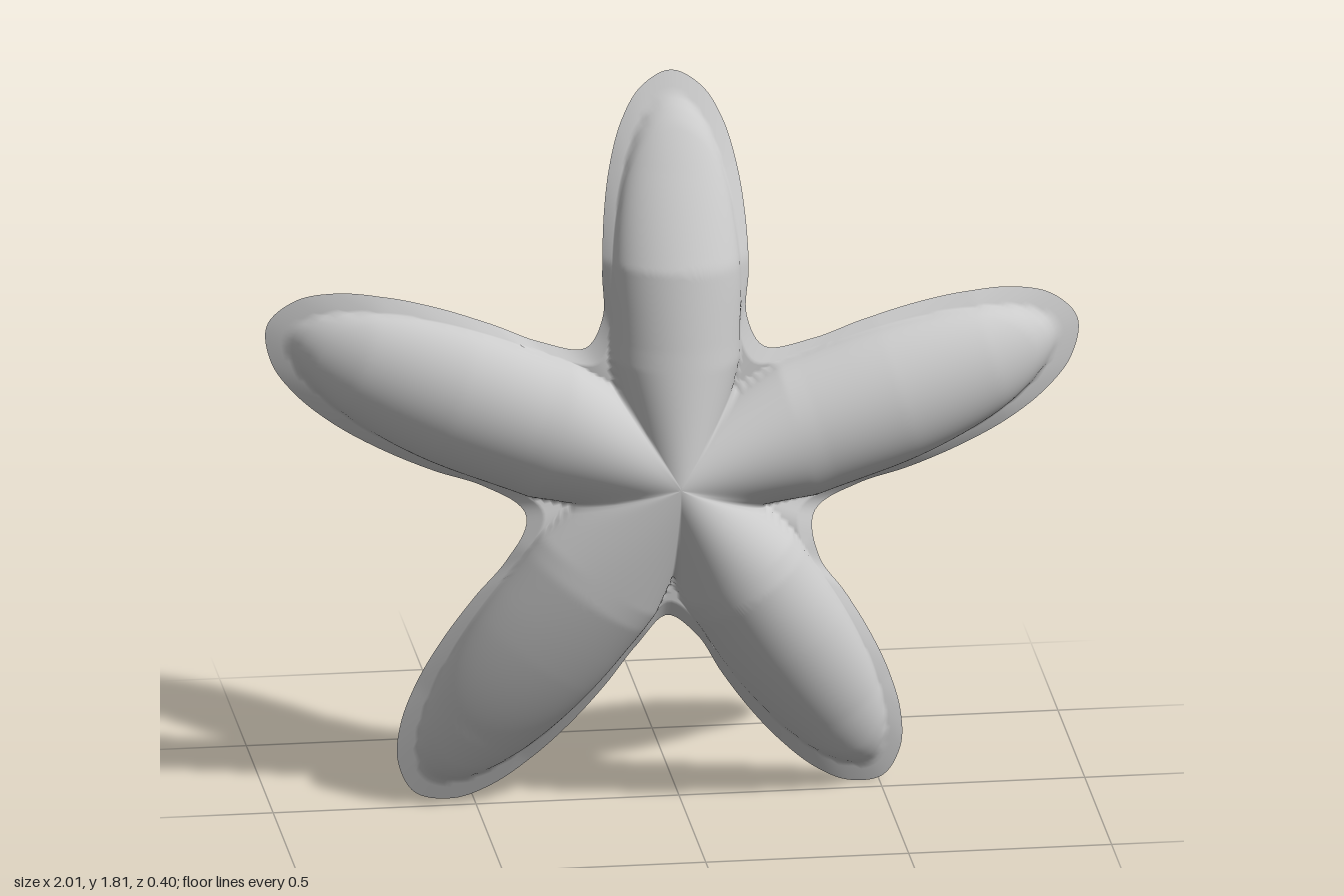
import * as THREE from 'three';
import { mergeVertices } from 'three/addons/utils/BufferGeometryUtils.js';

const CENTRE = new THREE.Vector2(-0.02, 0.858);
const AROUND = 600, RINGS = 80;

// Depth of the rim at these fractions along an arm
const stations = [0, 0.35, 0.55, 0.78, 1];
const upperRim = [0.04, -0.002, -0.02, -0.115, -0.2];
const sideRim = [0.04, -0.012, -0.034, -0.072, -0.13];
const lowerRim = [0.04, 0.04, 0.01, -0.028, -0.052];

// Arms counter-clockwise: angle (degrees), length, width factor, fullness towards the tip, rim depth
const arms = [
  [15.7, 1.06, 1.06, 1.1, sideRim],
  [88.4, 0.952, 0.95, 0.74, upperRim],
  [159.9, 1.042, 1.05, 1.1, sideRim],
  [233.4, 1.045, 1.06, 1.12, lowerRim],
  [302.0, 0.998, 0.95, 1.12, lowerRim],
].map(([deg, length, width, fullness, rim]) => {
  const a = THREE.MathUtils.degToRad(deg);
  return { a, length, width, fullness, rim, dx: Math.cos(a), dy: Math.sin(a) };
});

// Half outline of one arm: fraction along the arm, half width
const armProfile = [[0.4, 0.187], [0.52, 0.19], [0.65, 0.184], [0.77, 0.166], [0.88, 0.132], [0.96, 0.08]];

// Closed outline: both edges of every arm, joined by rounded webs
function makeOutline() {
  const pts = [];
  const add = (arm, t, v) => pts.push(new THREE.Vector3(
    arm.dx * t * arm.length - arm.dy * v * arm.width,
    arm.dy * t * arm.length + arm.dx * v * arm.width, 0));
  arms.forEach((arm, i) => {
    armProfile.forEach(([t, v]) => add(arm, t, -v));
    add(arm, 1, 0);
    [...armProfile].reverse().forEach(([t, v]) => add(arm, t, v));
    const next = arms[(i + 1) % arms.length];
    const mid = (arm.a + next.a + (next.a < arm.a ? Math.PI * 2 : 0)) / 2;
    pts.push(new THREE.Vector3(Math.cos(mid) * 0.375, Math.sin(mid) * 0.375, 0));
  });
  return new THREE.CatmullRomCurve3(pts, true, 'centripetal').getSpacedPoints(AROUND);
}

function rimDepth(arm, t) {
  let k = 0;
  while (k < stations.length - 2 && t > stations[k + 1]) k++;
  const f = (t - stations[k]) / (stations[k + 1] - stations[k]);
  return THREE.MathUtils.lerp(arm.rim[k], arm.rim[k + 1], f);
}

// Base sheet: the arms curl backwards, blended from arm to arm
function base(x, y) {
  const r = Math.hypot(x, y);
  if (r < 1e-6) return upperRim[0];
  let sum = 0, z = 0;
  for (const arm of arms) {
    const c = (x * arm.dx + y * arm.dy) / r;
    const w = Math.exp(16 * (c - 1));
    sum += w;
    z += w * rimDepth(arm, Math.max(0, r * c) / arm.length);
  }
  return z / sum;
}

// Forward bulge: a long dome on each arm, with creases where the domes meet
function dome(x, y) {
  let h = 0;
  for (const arm of arms) {
    const u = x * arm.dx + y * arm.dy, v = x * arm.dy - y * arm.dx;
    const t = Math.max(0, u / arm.length);
    if (u < -1e-6 || t >= 0.94) continue;
    const taper = t > 0.45 ? Math.sqrt(1 - ((t - 0.45) / 0.49) ** 2) : 0.6 + 0.4 * Math.min(1, t / 0.3);
    const q = v / (0.168 * arm.width * taper);
    if (Math.abs(q) >= 1) continue;
    const height = 0.14 * THREE.MathUtils.lerp(1, arm.fullness, t);
    h = Math.max(h, height * Math.pow(1 - (t / 0.94) ** 2.4, 0.65) * Math.pow(1 - q * q, 0.6));
  }
  return h;
}

// Hollow shell swept from the centre out to the sloping rim
function makeShell() {
  const outline = makeOutline(), pos = [], index = [];
  for (let j = 0; j <= RINGS; j++) {
    const s = j / RINGS;
    for (let i = 0; i < AROUND; i++) {
      const x = outline[i].x * s, y = outline[i].y * s;
      const flange = 0.02 * Math.min(1, (1 - s) * 9);
      pos.push(x + CENTRE.x, y + CENTRE.y, base(x, y) + dome(x, y) + flange);
      if (j === RINGS) continue;
      const a = j * AROUND + i, b = j * AROUND + (i + 1) % AROUND;
      const c = a + AROUND, d = b + AROUND;
      index.push(a, c, d);
      if (j > 0) index.push(a, d, b);
    }
  }
  let geo = new THREE.BufferGeometry();
  geo.setAttribute('position', new THREE.Float32BufferAttribute(pos, 3));
  geo.setIndex(index);
  geo = mergeVertices(geo, 1e-5);
  geo.computeVertexNormals();
  return geo;
}

export function createModel() {
  const group = new THREE.Group();
  group.name = 'starfish';
  const material = new THREE.MeshStandardMaterial({ color: 0xcccccc, side: THREE.DoubleSide });
  const shell = new THREE.Mesh(makeShell(), material);
  shell.name = 'starfishShell';
  group.add(shell);
  // Rest on the ground and centre
  const box = new THREE.Box3().setFromObject(group);
  const c = box.getCenter(new THREE.Vector3());
  shell.geometry.translate(-c.x, -box.min.y, -c.z);
  return group;
}
